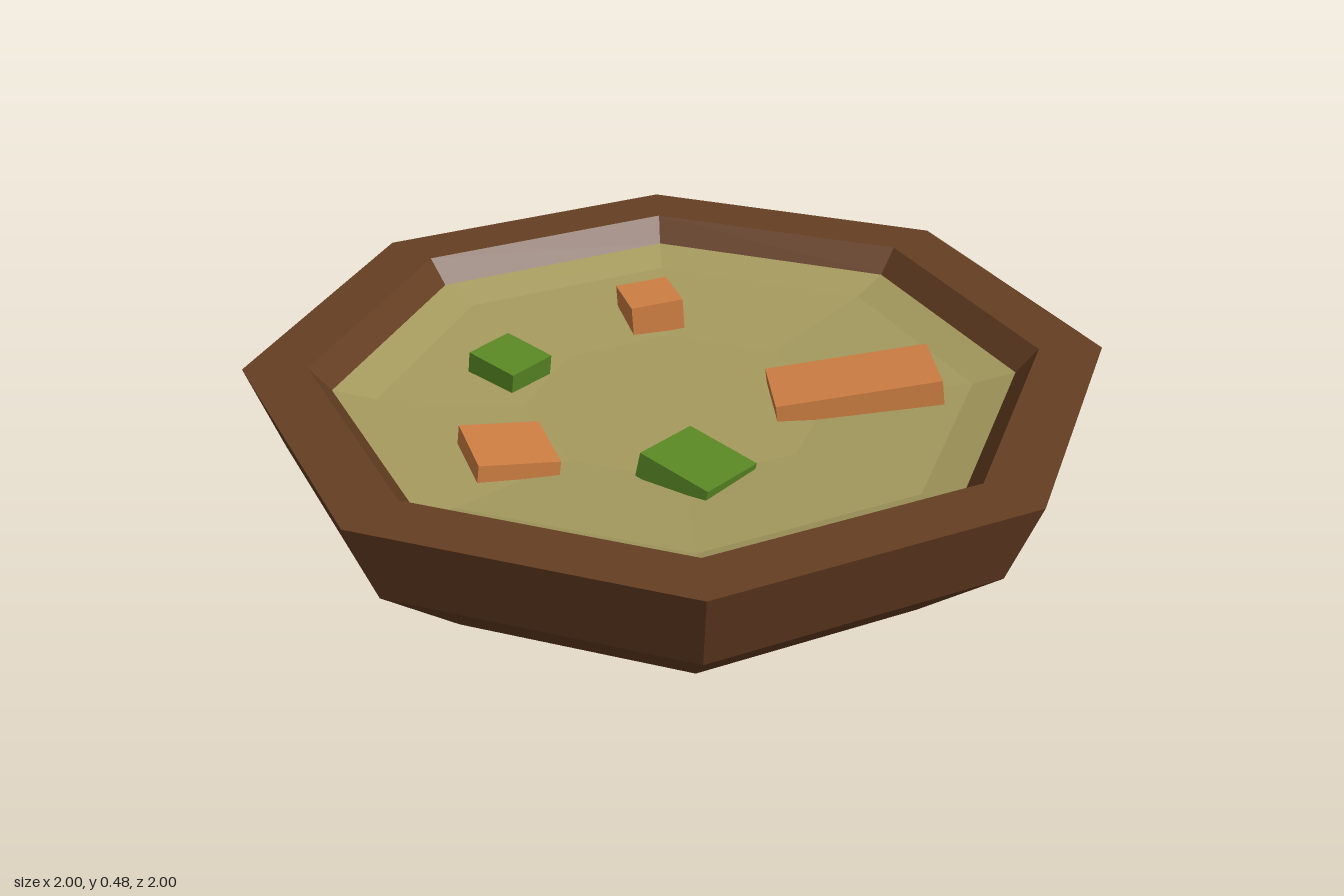
import * as THREE from 'three';

const SIDES = 8;
const paint = (color) => new THREE.MeshStandardMaterial({ color, flatShading: true });
const wood = paint(0x653e22);
const broth = paint(0xa59a5e);
const orange = paint(0xcf7f43);
const green = paint(0x598724);

// Eight-sided turned shape from [radius, height] pairs
function turned(name, profile, material) {
  const points = profile.map(([r, y]) => new THREE.Vector2(r, y));
  const mesh = new THREE.Mesh(new THREE.LatheGeometry(points, SIDES), material);
  mesh.name = name;
  return mesh;
}

// Block whose top centre sits at (x, top, z), turned by yaw and leaning with the given slopes
function chunk(name, material, { x, z, top, size, yaw, slopeX = 0, slopeZ = 0 }) {
  const [w, h, d] = size;
  const geometry = new THREE.BoxGeometry(w, h, d).translate(0, -h / 2, 0);
  const mesh = new THREE.Mesh(geometry, material);
  const up = new THREE.Vector3(0, 1, 0);
  const normal = new THREE.Vector3(-slopeX, 1, -slopeZ).normalize();
  mesh.quaternion.setFromUnitVectors(up, normal)
    .multiply(new THREE.Quaternion().setFromAxisAngle(up, yaw));
  mesh.position.set(x, top, z);
  mesh.name = name;
  return mesh;
}

export function createModel() {
  const model = new THREE.Group();
  model.name = 'soupBowl';

  // Bowl: flat base, rounded wall, thick rim and sloping inner lip
  model.add(turned('bowl', [
    [0, 0], [0.38, 0], [0.71, 0.1], [0.92, 0.275], [1, 0.48],
    [0.85, 0.48], [0.8, 0.42],
  ], wood));

  // Soup: shallow dish, listed from the edge inwards so it faces up
  model.add(turned('soup', [[0.8, 0.42], [0.7, 0.393], [0.36, 0.363], [0, 0.36]], broth));

  // Floating vegetables
  model.add(
    chunk('longCarrotPiece', orange, { x: 0.413, z: 0, top: 0.425, size: [0.39, 0.08, 0.195], yaw: 0.03, slopeX: 0.13 }),
    chunk('backCarrotPiece', orange, { x: -0.045, z: -0.445, top: 0.441, size: [0.133, 0.09, 0.146], yaw: 0.24, slopeX: 0.06 }),
    chunk('frontCarrotPiece', orange, { x: -0.385, z: 0.265, top: 0.416, size: [0.185, 0.07, 0.188], yaw: 0.27, slopeX: -0.12, slopeZ: 0.02 }),
    chunk('backGreenPiece', green, { x: -0.39, z: -0.155, top: 0.424, size: [0.136, 0.08, 0.141], yaw: 0.85, slopeX: -0.1, slopeZ: -0.08 }),
    chunk('frontGreenPiece', green, { x: 0.03, z: 0.333, top: 0.404, size: [0.186, 0.06, 0.187], yaw: 0.87, slopeX: -0.19, slopeZ: -0.05 }),
  );
  return model;
}
